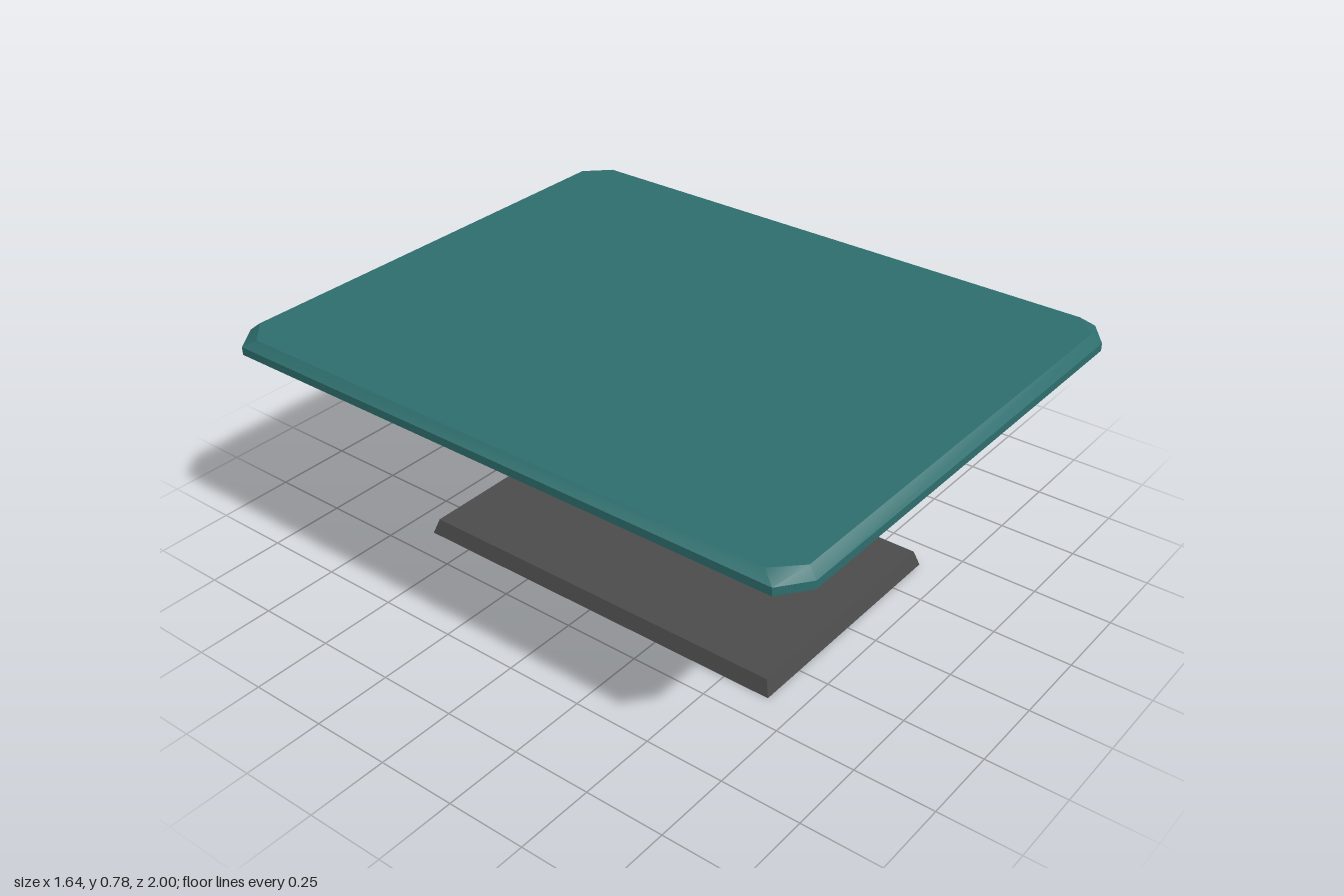
import * as THREE from 'three';
import { toCreasedNormals } from 'three/addons/utils/BufferGeometryUtils.js';

// Outline of a rectangle with cut corners (half sizes w, d; cuts cx, cz).
// With steps > 1 the corners are rounded instead. Points are [x, z].
function outline(w, d, cx = 0, cz = 0, steps = 1) {
  const points = [];
  const corners = [[1, 1], [-1, 1], [-1, -1], [1, -1]];
  corners.forEach(([sx, sz], i) => {
    for (let k = 0; k <= (cx ? steps : 0); k++) {
      const a = (i + k / steps) * Math.PI / 2;
      points.push([
        sx * (w - cx) + Math.cos(a) * cx,
        sz * (d - cz) + Math.sin(a) * cz,
      ]);
    }
  });
  return points;
}

// Walls joining stacked outlines, each ring being { y, points }
function walls(rings) {
  const n = rings[0].points.length;
  const positions = [], index = [];
  for (const { y, points } of rings) for (const [x, z] of points) positions.push(x, y, z);
  for (let r = 0; r < rings.length - 1; r++) {
    for (let i = 0; i < n; i++) {
      const a = r * n + i, b = r * n + (i + 1) % n;
      index.push(a, a + n, b, b, a + n, b + n);
    }
  }
  const geometry = new THREE.BufferGeometry();
  geometry.setAttribute('position', new THREE.Float32BufferAttribute(positions, 3));
  geometry.setIndex(index);
  return toCreasedNormals(geometry, 0.6);
}

// Flat horizontal face, facing up or down, with an optional hole
function face(points, y, up = true, hole = null) {
  const flip = up ? -1 : 1;
  const toVectors = (list) => list.map(([x, z]) => new THREE.Vector2(x, flip * z));
  const shape = new THREE.Shape(toVectors(points));
  if (hole) shape.holes.push(new THREE.Path(toVectors(hole)));
  return new THREE.ShapeGeometry(shape).rotateX(flip * Math.PI / 2).translate(0, y, 0);
}

export function createModel() {
  const teal = new THREE.MeshStandardMaterial({ color: 0x2f6e6e });
  teal.name = 'teal top';
  const grey = new THREE.MeshStandardMaterial({ color: 0x4c4c4c, side: THREE.DoubleSide });
  grey.name = 'dark grey metal';

  const model = new THREE.Group();
  model.name = 'table';
  const addPart = (name, material, pieces) => {
    const group = new THREE.Group();
    group.name = name;
    for (const [pieceName, geometry] of Object.entries(pieces)) {
      const mesh = new THREE.Mesh(geometry, material);
      mesh.name = pieceName;
      group.add(mesh);
    }
    model.add(group);
  };

  // Tabletop: cut corners, straight lower edge and bevelled upper edge
  const rim = outline(0.82, 1, 0.087, 0.065);
  const bevel = outline(0.795, 0.97, 0.075, 0.075);
  addPart('tabletop', teal, {
    tabletopEdge: walls([
      { y: 0.73, points: rim },
      { y: 0.755, points: rim },
      { y: 0.78, points: bevel },
    ]),
    tabletopSurface: face(bevel, 0.78),
    tabletopUnderside: face(rim, 0.73, false),
  });

  // Post: open tube with rounded corners
  const tube = outline(0.05, 0.042, 0.02, 0.02, 4);
  addPart('post', grey, {
    postTube: walls([{ y: 0.05, points: tube }, { y: 0.73, points: tube }]),
  });

  // Base: hollow tapered foot plate, open below, pierced by the post
  const foot = outline(0.404, 0.653), plate = outline(0.389, 0.637);
  addPart('base', grey, {
    baseSides: walls([{ y: 0, points: foot }, { y: 0.05, points: plate }]),
    basePlate: face(plate, 0.05, true, tube),
  });

  return model;
}
